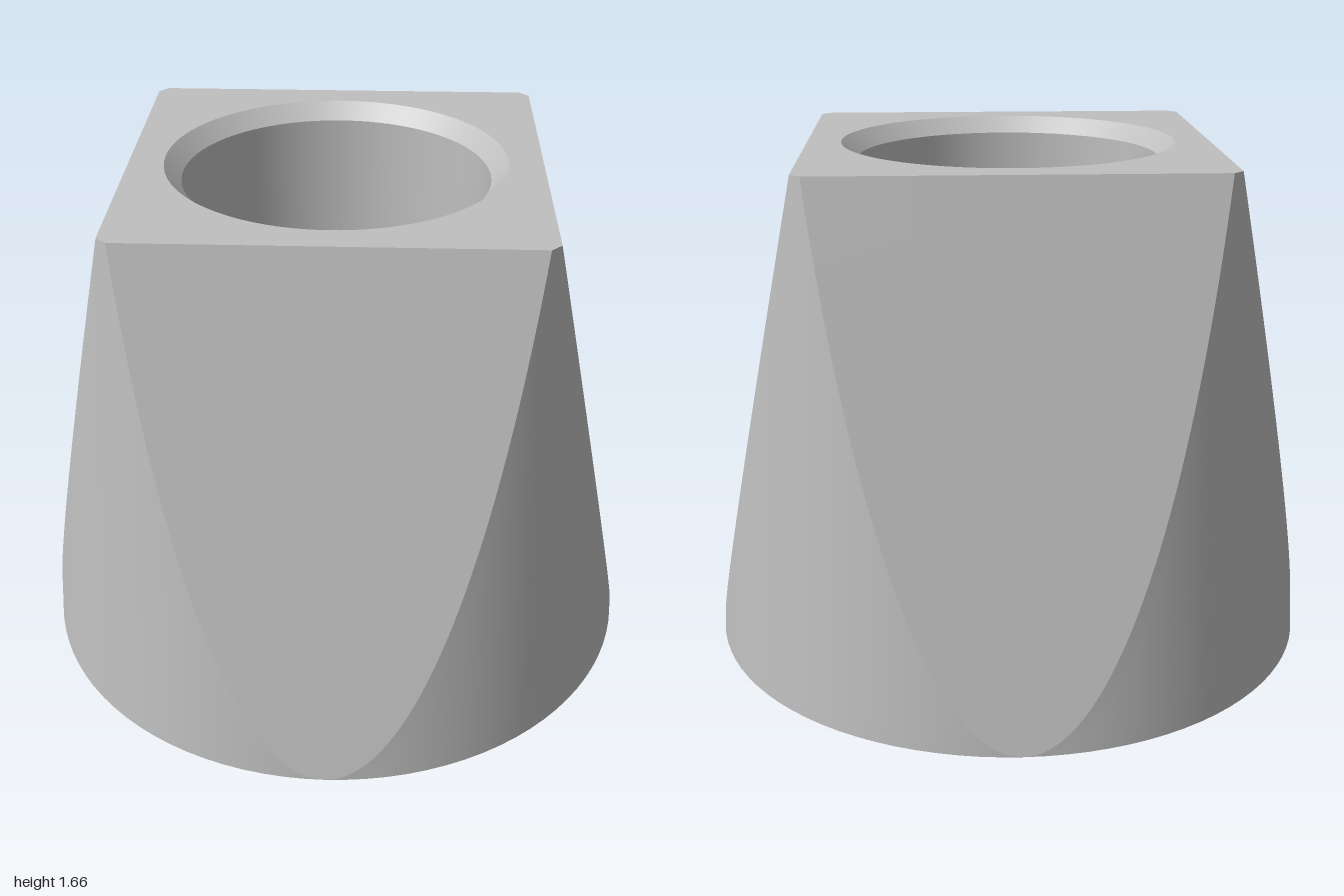
import * as THREE from 'three';

const HEIGHT = 1.66;
const BORE = 0.485, RIM = 0.537, CHAMFER = 0.052;
const coneRadius = (t) => 1 - 0.11 * t;      // round body, slightly tapered
const flatDistance = (t) => 1 - 0.355 * t;   // leaning flats cut into it
const flatAngle = (t) => Math.acos(Math.min(1, flatDistance(t) / coneRadius(t)));

// Surface patch from a rule (u across, v up), both 0..1
function patch(rule, nu, nv) {
  const pos = [], index = [];
  for (let j = 0; j <= nv; j++)
    for (let i = 0; i <= nu; i++) pos.push(...rule(i / nu, j / nv));
  for (let j = 0; j < nv; j++)
    for (let i = 0; i < nu; i++) {
      const a = j * (nu + 1) + i, b = a + 1, c = b + nu + 1, d = a + nu + 1;
      if (j > 0 || rule(0, 0)[0] !== rule(1, 0)[0]) index.push(a, b, c);
      index.push(a, c, d);
    }
  const g = new THREE.BufferGeometry();
  g.setAttribute('position', new THREE.Float32BufferAttribute(pos, 3));
  g.setIndex(index);
  g.computeVertexNormals();
  return g;
}

export function createModel() {
  const group = new THREE.Group();
  const grey = new THREE.MeshStandardMaterial({ color: 0xbfbfbf });
  grey.name = 'plain grey';
  const add = (name, geometry, turn = 0) => {
    const mesh = new THREE.Mesh(geometry, grey);
    mesh.name = name;
    mesh.rotation.y = turn;
    group.add(mesh);
    return mesh;
  };

  // Rows are packed toward the base, where the flats narrow quickly
  const row = (v) => v * v;
  const flat = patch((u, v) => {
    const t = row(v), half = coneRadius(t) * Math.sin(flatAngle(t));
    return [(u * 2 - 1) * half, t * HEIGHT, flatDistance(t)];
  }, 4, 40);
  const corner = patch((u, v) => {
    const t = row(v), a = flatAngle(t), r = coneRadius(t);
    const angle = a + u * (Math.PI / 2 - 2 * a);
    return [r * Math.sin(angle), t * HEIGHT, r * Math.cos(angle)];
  }, 24, 40);
  for (let k = 0; k < 4; k++) {
    add('slopedFlat', flat, k * Math.PI / 2);
    add('roundedCorner', corner, k * Math.PI / 2);
  }

  // Square top with tiny rounded corners and a round opening
  const outline = [], a = flatAngle(1), r = coneRadius(1);
  for (let k = 0; k < 4; k++)
    for (let i = 0; i <= 4; i++) {
      const angle = k * Math.PI / 2 + a + (i / 4) * (Math.PI / 2 - 2 * a);
      outline.push(new THREE.Vector2(r * Math.cos(angle), r * Math.sin(angle)));
    }
  const top = new THREE.Shape(outline);
  top.holes.push(new THREE.Path().absarc(0, 0, RIM, 0, Math.PI * 2, true));
  add('topFace', new THREE.ShapeGeometry(top, 48).rotateX(-Math.PI / 2)).position.y = HEIGHT;

  // Round underside
  add('bottomFace', new THREE.RingGeometry(RIM, 1, 96).rotateX(Math.PI / 2));

  // Through bore with a chamfer at both ends, facing inward
  const profile = [[RIM, HEIGHT], [BORE, HEIGHT - CHAMFER], [BORE, CHAMFER], [RIM, 0]]
    .map(([x, y]) => new THREE.Vector2(x, y));
  ['topChamfer', 'bore', 'bottomChamfer'].forEach((name, i) =>
    add(name, new THREE.LatheGeometry(profile.slice(i, i + 2), 96)));

  return group;
}
